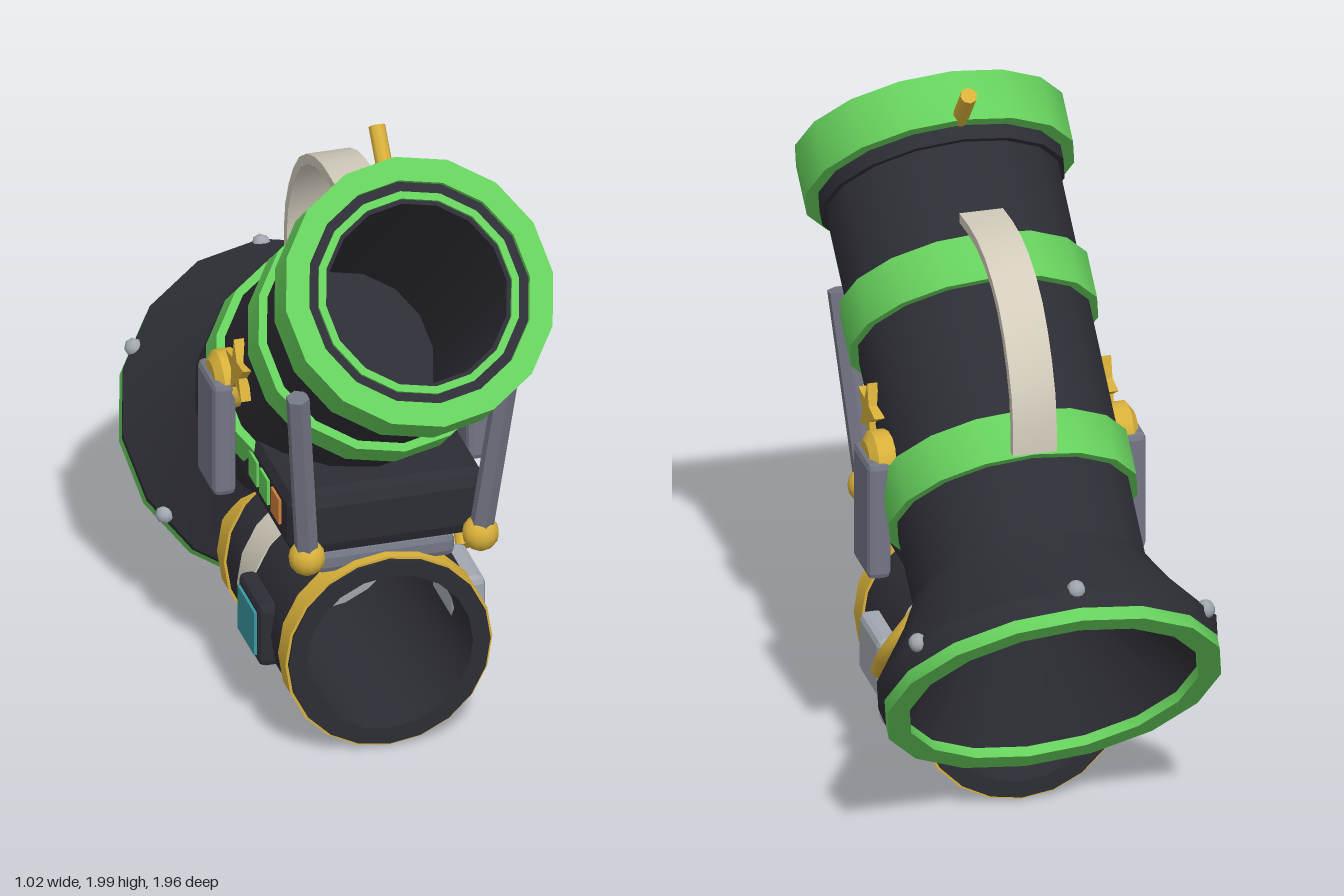
import * as THREE from 'three';
import { toCreasedNormals } from 'three/addons/utils/BufferGeometryUtils.js';
import { RoundedBoxGeometry } from 'three/addons/geometries/RoundedBoxGeometry.js';

const mat = (name, color) => {
  const m = new THREE.MeshStandardMaterial({ color });
  m.name = name;
  return m;
};

export function createModel() {
  const dark = mat('charcoal', 0x2d2d35);
  const green = mat('green', 0x66d05c);
  const gold = mat('gold', 0xd8b03a);
  const grey = mat('steel grey', 0x737684);
  const pale = mat('pale grey', 0xa2a7b0);
  const cream = mat('cream', 0xd3ccbc);
  const orange = mat('orange', 0xcf7d3c);
  const teal = mat('teal', 0x38979f);

  const model = new THREE.Group();
  model.name = 'cannon';

  const add = (parent, name, geo, material, x = 0, y = 0, z = 0) => {
    const mesh = new THREE.Mesh(geo, material);
    mesh.name = name;
    mesh.position.set(x, y, z);
    parent.add(mesh);
    return mesh;
  };
  // Turned solid from a counter-clockwise [radius, height] profile
  const turned = (points, sides) => toCreasedNormals(
    new THREE.LatheGeometry(points.map(([r, h]) => new THREE.Vector2(r, h)), sides), 0.45);
  const ring = (rIn, rOut, h0, h1, sides = 16) => turned(
    [[rIn, h0], [rOut, h0], [rOut, h1], [rIn, h1], [rIn, h0]], sides);
  // Box with flat chamfers
  const chamferBox = (w, h, d, c) => toCreasedNormals(new RoundedBoxGeometry(w, h, d, 1, c), 0.2);

  // Barrel: local y runs along the bore, muzzle face at y = 0
  const barrel = new THREE.Group();
  barrel.name = 'barrel';
  barrel.position.set(0, 1.667, 0.72);
  barrel.rotation.x = THREE.MathUtils.degToRad(50);
  model.add(barrel);

  add(barrel, 'barrelBody', turned([
    [0, -1.47], [0.17, -1.47], [0.44, -1.78], [0.495, -1.77], [0.508, -1.70],
    [0.395, -1.545], [0.345, -1.455], [0.345, -0.2], [0.362, -0.2], [0.362, -0.02],
    [0.265, -0.02], [0.265, -1.0], [0, -1.0],
  ], 16), dark);
  add(barrel, 'muzzleRing', ring(0.33, 0.4, -0.155, 0), green);
  add(barrel, 'muzzleInnerRing', ring(0.278, 0.3, -0.06, -0.008), green);
  add(barrel, 'frontBand', ring(0.33, 0.37, -0.645, -0.5), green);
  add(barrel, 'rearBand', ring(0.33, 0.37, -1.21, -1.067), green);
  add(barrel, 'bellRim', ring(0.43, 0.497, -1.8, -1.757), green);
  add(barrel, 'breechKnob', turned([
    [0, -1.57], [0.11, -1.57], [0.15, -1.53], [0.15, -1.46], [0, -1.46],
  ], 16), gold);

  // Fuse standing on the muzzle ring
  add(barrel, 'fuse', new THREE.CylinderGeometry(0.025, 0.025, 0.17, 8), gold, 0, -0.135, -0.435)
    .rotation.x = -Math.PI / 2;

  // Six rivets round the bell
  for (let i = 0; i < 6; i++) {
    const a = (i * Math.PI) / 3;
    add(barrel, 'bellRivet', new THREE.SphereGeometry(0.028, 8, 6), pale,
      0.495 * Math.sin(a), -1.7, -0.495 * Math.cos(a));
  }

  // Carrying handle: a curved strap over the barrel, drawn in (z, y)
  const arc = new THREE.CatmullRomCurve3([
    [0.146, 1.66], [-0.02, 1.668], [-0.16, 1.637], [-0.28, 1.566],
    [-0.37, 1.45], [-0.425, 1.317], [-0.432, 1.175],
  ].map(([z, y]) => new THREE.Vector3(-z, y, 0)));
  const outer = [], inner = [];
  for (let i = 0; i <= 10; i++) {
    const p = arc.getPoint(i / 10), t = arc.getTangent(i / 10);
    outer.push(new THREE.Vector2(p.x - t.y * 0.015, p.y + t.x * 0.015));
    inner.unshift(new THREE.Vector2(p.x + t.y * 0.015, p.y - t.x * 0.015));
  }
  const strap = new THREE.ExtrudeGeometry(new THREE.Shape([...outer, ...inner]),
    { depth: 0.13, bevelEnabled: false });
  add(model, 'handle', toCreasedNormals(strap.translate(0, 0, -0.065), 0.6), cream)
    .rotation.y = Math.PI / 2;

  // Lower tube, open at both ends, lying along z
  const tube = new THREE.Group();
  tube.name = 'lowerTube';
  tube.position.set(0, 0.315, 0);
  tube.rotation.x = Math.PI / 2;
  model.add(tube);
  add(tube, 'tubeBody', ring(0.25, 0.302, -0.305, 0.415, 20), dark);
  add(tube, 'tubeFrontBand', ring(0.29, 0.31, 0.33, 0.405, 20), gold);
  add(tube, 'tubeRearBand', ring(0.29, 0.31, -0.295, -0.225, 20), gold);
  add(tube, 'tubeStrap', ring(0.29, 0.307, -0.1, 0.025, 20), cream);

  // Boxes on the tube's flanks
  add(model, 'sideBox', chamferBox(0.1, 0.19, 0.23, 0.022), pale, 0.295, 0.312, 0.115);
  add(model, 'screenBox', chamferBox(0.09, 0.2, 0.23, 0.02), dark, -0.29, 0.312, 0.115);
  add(model, 'screen', new THREE.BoxGeometry(0.009, 0.14, 0.17), teal, -0.339, 0.312, 0.115);

  // Bent pipe on the left flank
  const pipePath = new THREE.CatmullRomCurve3([
    [0.28, 0.645, -0.265], [0.345, 0.55, -0.245], [0.375, 0.46, -0.185], [0.36, 0.35, -0.06],
  ].map((p) => new THREE.Vector3(...p)));
  add(model, 'bentPipe', new THREE.TubeGeometry(pipePath, 8, 0.024, 8), gold);
  for (const [end, dir] of [[0, -1], [1, 1]]) {
    const cap = add(model, 'pipeCap', new THREE.CircleGeometry(0.024, 8), gold);
    cap.position.copy(pipePath.getPoint(end));
    cap.lookAt(pipePath.getPoint(end).addScaledVector(pipePath.getTangent(end), dir));
  }

  // Cradle between tube and barrel
  add(model, 'cradleSlab', chamferBox(0.42, 0.075, 0.52, 0.022), grey, 0, 0.613, 0.115);
  add(model, 'controlBlock', chamferBox(0.59, 0.21, 0.575, 0.045), dark, 0, 0.76, 0.128);

  // Five-pointed star
  const star = new THREE.Shape(Array.from({ length: 10 }, (_, i) => {
    const r = i % 2 ? 0.04 : 0.096, a = (i * Math.PI) / 5 + 0.12;
    return new THREE.Vector2(r * Math.sin(a), r * Math.cos(a));
  }));
  const starGeo = new THREE.ExtrudeGeometry(star, { depth: 0.03, bevelEnabled: false })
    .translate(0, 0, -0.015);

  // Mirrored fittings
  for (const s of [1, -1]) {
    add(model, 'star', starGeo, gold, s * 0.348, 1.115, 0.07).rotation.y = Math.PI / 2;
    [[0.272, orange], [0.155, green], [0.045, green]].forEach(([z, m]) =>
      add(model, 'button', new THREE.BoxGeometry(0.02, 0.08, 0.082), m, s * 0.293, 0.768, z));

    // Side bracket and its pivot
    add(model, 'bracket', chamferBox(0.07, 0.37, 0.185, 0.02), grey, s * 0.38, 0.865, -0.058);
    add(model, 'pivot', turned([
      [0, -0.06], [0.088, -0.06], [0.088, 0.02], [0.06, 0.04], [0, 0.04],
    ], 16), gold, s * 0.36, 1.02, -0.055).rotation.z = -s * Math.PI / 2;

    // Front strut on a ball joint
    const foot = new THREE.Vector3(s * 0.26, 0.69, 0.455);
    const tip = new THREE.Vector3(s * 0.315, 1.275, 0.55);
    const dir = tip.clone().sub(foot);
    const strut = add(model, 'strut',
      toCreasedNormals(new THREE.CylinderGeometry(0.035, 0.035, dir.length(), 6), 0.3), grey);
    strut.position.copy(foot).add(tip).multiplyScalar(0.5);
    strut.quaternion.setFromUnitVectors(new THREE.Vector3(0, 1, 0), dir.normalize());
    add(model, 'ballJoint', new THREE.SphereGeometry(0.054, 12, 8), gold, foot.x, foot.y, foot.z);
  }

  return model;
}
